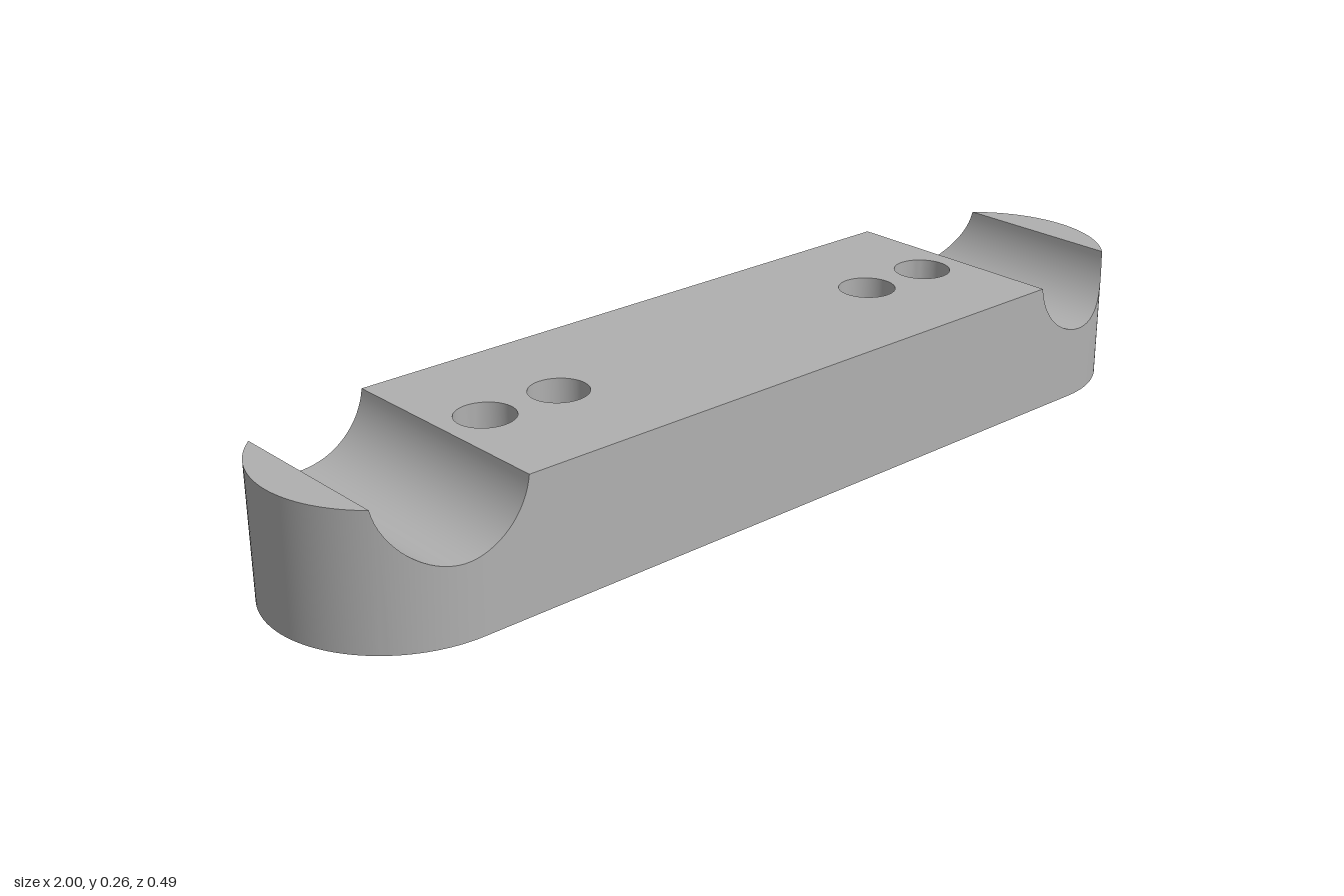
import * as THREE from 'three';
import { toCreasedNormals } from 'three/addons/utils/BufferGeometryUtils.js';

const H = 0.263, R = 0.245, CX = 1 - R;            // height, end radius, end centre
const GX = 0.785, GY = 0.281, GR = 0.136;          // groove centre and radius
const HOLES = [0.395, 0.558], HR = 0.057;          // screw holes
const BR = 0.102, BD = 0.08;                       // counterbore radius and depth

const halfWidth = x => {
  const d = Math.max(0, Math.abs(x) - CX);
  return Math.sqrt(Math.max(0, R * R - d * d));
};

// Ribbon of quads between two equally long rows of points
function ribbon(a, b) {
  const pos = [];
  for (let i = 0; i < a.length - 1; i++) {
    for (const p of [a[i], a[i + 1], b[i + 1], a[i], b[i + 1], b[i]]) pos.push(...p);
  }
  const g = new THREE.BufferGeometry();
  g.setAttribute('position', new THREE.Float32BufferAttribute(pos, 3));
  return toCreasedNormals(g, 0.6);
}

function arc(cx, r, from, to, n) {
  return Array.from({ length: n + 1 }, (_, i) => {
    const t = from + (to - from) * i / n;
    return new THREE.Vector2(cx + r * Math.cos(t), r * Math.sin(t));
  });
}

// Horizontal plate with holes, facing up or down
function plate(points, holes, y, up) {
  const s = new THREE.Shape(points);
  s.holes = holes.map(h => new THREE.Path(h));
  const g = new THREE.ShapeGeometry(s);
  g.rotateX(up ? -Math.PI / 2 : Math.PI / 2);
  return g.translate(0, y, 0);
}

export function createModel() {
  const group = new THREE.Group();
  const grey = new THREE.MeshStandardMaterial({ color: 0xb0b0b0, side: THREE.DoubleSide });
  grey.name = 'grey';
  const add = (name, geo) => {
    const m = new THREE.Mesh(geo, grey);
    m.name = name;
    group.add(m);
  };

  // Top profile of one end: round groove, then the flat tip
  const a0 = Math.asin((GY - H) / GR);
  const end = [];
  for (let i = 0; i <= 32; i++) {
    const t = a0 + (Math.PI - 2 * a0) * i / 32;
    end.push([GX - GR * Math.cos(t), GY - GR * Math.sin(t)]);
  }
  const grooveEnd = end[32][0], grooveStart = end[0][0];
  const a1 = Math.acos((grooveEnd - CX) / R);
  for (let i = 1; i <= 16; i++) end.push([CX + R * Math.cos(a1 * (1 - i / 16)), H]);
  const mirrored = end.map(([x, y]) => [-x, y]).reverse();

  // Outer wall, following the profile round the rounded outline
  const profile = [...mirrored, ...end];
  const rim = [
    ...profile.map(([x, y]) => [x, y, halfWidth(x)]),
    ...profile.slice(0, -1).reverse().map(([x, y]) => [x, y, -halfWidth(x)]),
  ];
  add('outerWall', ribbon(rim.map(([x, , z]) => [x, 0, z]), rim));

  // Grooves and tips on top of both ends
  for (const [side, row] of [['right', mirrored], ['left', end]]) {
    add(side + 'EndTop', ribbon(
      row.map(([x, y]) => [x, y, halfWidth(x)]),
      row.map(([x, y]) => [x, y, -halfWidth(x)])));
  }

  // Flat middle of the top with four holes
  const circles = [-1, 1].flatMap(s => HOLES.map(x => arc(s * x, HR, 0, Math.PI * 2, 40).slice(0, -1)));
  const rect = [[-1, -1], [1, -1], [1, 1], [-1, 1]]
    .map(([x, z]) => new THREE.Vector2(x * grooveStart, z * R));
  add('middleTop', plate(rect, circles, H, true));

  // Overlapping counterbore outlines
  const b = Math.acos((HOLES[1] - HOLES[0]) / 2 / BR);
  const pocket = [
    ...arc(HOLES[1], BR, b - Math.PI, Math.PI - b, 36).slice(0, -1),
    ...arc(HOLES[0], BR, b, 2 * Math.PI - b, 36).slice(0, -1),
  ];
  const pockets = [pocket.map(p => new THREE.Vector2(-p.x, -p.y)), pocket];

  // Underside
  const outline = [
    ...arc(CX, R, -Math.PI / 2, Math.PI / 2, 48),
    ...arc(-CX, R, Math.PI / 2, Math.PI * 1.5, 48),
  ];
  add('underside', plate(outline, pockets, 0, false));

  // Counterbore walls and floors
  pockets.forEach((p, i) => {
    const side = i ? 'left' : 'right';
    const loop = [...p, p[0]].reverse();
    add(side + 'CounterboreWall', ribbon(
      loop.map(v => [v.x, 0, -v.y]), loop.map(v => [v.x, BD, -v.y])));
    add(side + 'CounterboreFloor', plate(p, circles.slice(i * 2, i * 2 + 2), BD, false));
  });

  // Screw hole walls
  circles.forEach(c => {
    const loop = [...c, c[0]].reverse();
    add('screwHole', ribbon(loop.map(v => [v.x, BD, -v.y]), loop.map(v => [v.x, H, -v.y])));
  });

  return group;
}
